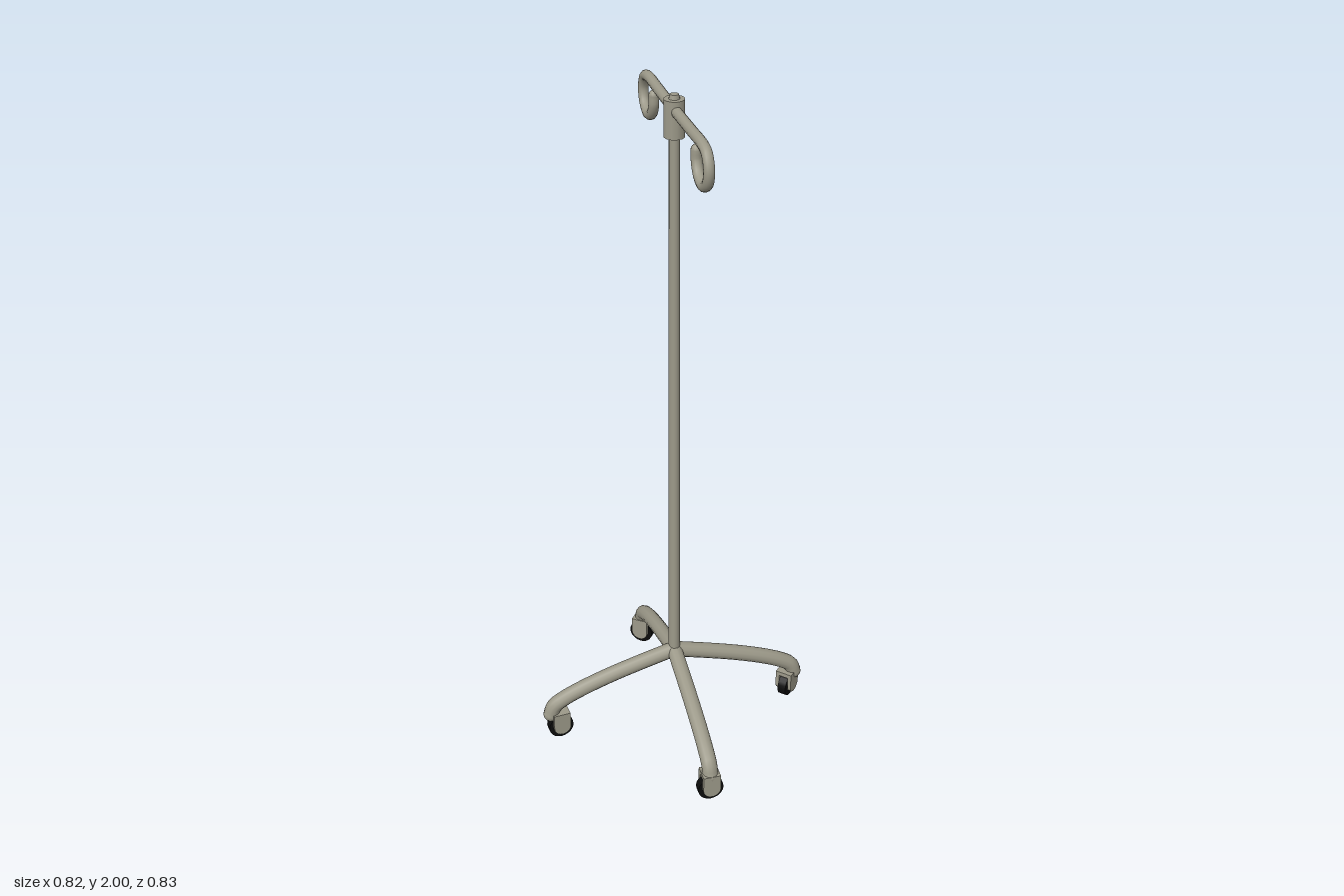
import * as THREE from 'three';

const metal = new THREE.MeshStandardMaterial({ color: 0x9c9989 });
const rubber = new THREE.MeshStandardMaterial({ color: 0x0c0c0c });

function add(parent, name, geometry, material = metal) {
  const mesh = new THREE.Mesh(geometry, material);
  mesh.name = name;
  parent.add(mesh);
  return mesh;
}

// Round tube through points, with rounded ends
function addTube(parent, name, points, radius, segments) {
  const group = new THREE.Group();
  group.name = name;
  const curve = new THREE.CatmullRomCurve3(points, false, 'centripetal');
  add(group, name + 'Tube', new THREE.TubeGeometry(curve, segments, radius, 12));
  for (const p of [points[0], points[points.length - 1]]) {
    add(group, name + 'End', new THREE.SphereGeometry(radius, 12, 8)).position.copy(p);
  }
  parent.add(group);
}

// Wheel between two rounded fork plates, rolling along local x
function createCaster() {
  const caster = new THREE.Group();
  caster.name = 'caster';

  const wheel = add(caster, 'wheel', new THREE.CylinderGeometry(0.038, 0.038, 0.026, 20), rubber);
  wheel.rotation.x = Math.PI / 2;
  wheel.position.y = 0.038;

  const plate = new THREE.Shape();
  plate.moveTo(0.026, 0.092);
  plate.lineTo(-0.026, 0.092);
  plate.lineTo(-0.026, 0.044);
  plate.absarc(0, 0.044, 0.026, Math.PI, Math.PI * 2, false);
  const plateGeometry = new THREE.ExtrudeGeometry(plate, { depth: 0.011, bevelEnabled: false, curveSegments: 10 });
  for (const z of [-0.026, 0.015]) {
    add(caster, 'forkPlate', plateGeometry).position.z = z;
  }
  add(caster, 'forkBridge', new THREE.BoxGeometry(0.052, 0.014, 0.032)).position.y = 0.085;

  const axle = add(caster, 'axle', new THREE.CylinderGeometry(0.008, 0.008, 0.05, 10));
  axle.rotation.x = Math.PI / 2;
  axle.position.y = 0.04;
  return caster;
}

export function createModel() {
  const model = new THREE.Group();
  model.name = 'dripStand';

  // Slightly tapered oval pole
  const pole = add(model, 'pole', new THREE.CylinderGeometry(0.018, 0.022, 1.68, 16));
  pole.scale.x = 0.77;
  pole.position.y = 1.08;

  // Hub where the legs meet
  add(model, 'hub', new THREE.SphereGeometry(0.026, 16, 10)).position.y = 0.248;

  // Collar and cap at the top
  add(model, 'collar', new THREE.CylinderGeometry(0.028, 0.028, 0.1, 12)).position.y = 1.938;
  add(model, 'cap', new THREE.CylinderGeometry(0.012, 0.015, 0.014, 12)).position.y = 1.993;

  // Crossbar curling into an open loop at each end
  const hook = [
    [0.05, 1.96], [0.16, 1.961], [0.255, 1.961], [0.289, 1.95], [0.307, 1.915],
    [0.295, 1.877], [0.258, 1.858], [0.22, 1.87], [0.2, 1.9], [0.198, 1.928],
  ];
  const left = hook.map(([z, y]) => new THREE.Vector3(0, y, z));
  const right = hook.map(([z, y]) => new THREE.Vector3(0, y, -z));
  addTube(model, 'hookBar', [...right.reverse(), ...left], 0.0145, 110);

  // Four curved legs, each with a caster swivelled its own way
  const legPath = [
    [0, 0.25], [0.1, 0.223], [0.2, 0.193], [0.29, 0.16],
    [0.345, 0.134], [0.376, 0.112], [0.387, 0.084],
  ].map(([x, y]) => new THREE.Vector3(x, y, 0));
  const legs = [
    { turn: 0, reach: 0.367, yaw: Math.PI / 4 },
    { turn: Math.PI / 2, reach: 0.385, yaw: -0.66 },
    { turn: Math.PI, reach: 0.36, yaw: 0.1 },
    { turn: -Math.PI / 2, reach: 0.383, yaw: 0 },
  ];
  for (const { turn, reach, yaw } of legs) {
    const leg = new THREE.Group();
    leg.name = 'leg';
    addTube(leg, 'legArm', legPath, 0.0235, 32);
    const caster = createCaster();
    caster.position.x = reach;
    caster.rotation.y = yaw - turn;
    leg.add(caster);
    leg.rotation.y = turn;
    model.add(leg);
  }
  return model;
}
